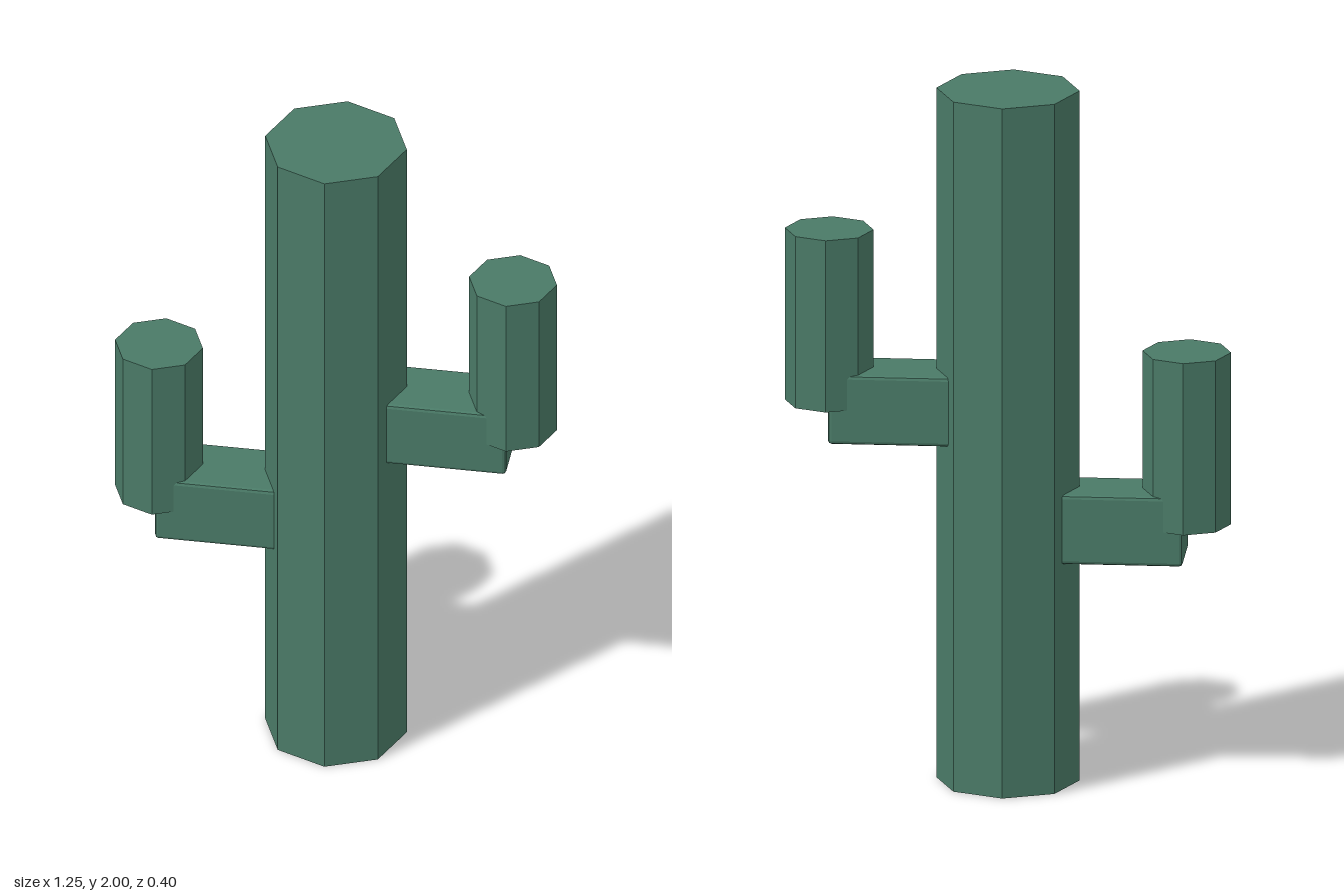
import * as THREE from 'three';
import { RoundedBoxGeometry } from 'three/addons/geometries/RoundedBoxGeometry.js';

export function createModel() {
  const group = new THREE.Group();
  const material = new THREE.MeshStandardMaterial({ color: 0x4a7a67, flatShading: true });

  const add = (parent, name, geometry, x, y) => {
    const mesh = new THREE.Mesh(geometry, material);
    mesh.name = name;
    mesh.position.set(x, y, 0);
    parent.add(mesh);
  };

  // Octagonal trunk
  add(group, 'trunk', new THREE.CylinderGeometry(0.2, 0.2, 2, 8), 0, 1);

  // Each arm: a chamfered bar out of the trunk and an upright octagonal branch
  const addArm = (side, name, barY) => {
    const arm = new THREE.Group();
    arm.name = name;
    add(arm, 'armBar', new RoundedBoxGeometry(0.4, 0.2, 0.2, 1, 0.01), side * 0.296, barY);
    add(arm, 'armBranch', new THREE.CylinderGeometry(0.124, 0.124, 0.498, 8), side * 0.5, barY + 0.249);
    group.add(arm);
  };
  addArm(1, 'leftArm', 1.086);
  addArm(-1, 'rightArm', 0.753);

  return group;
}
